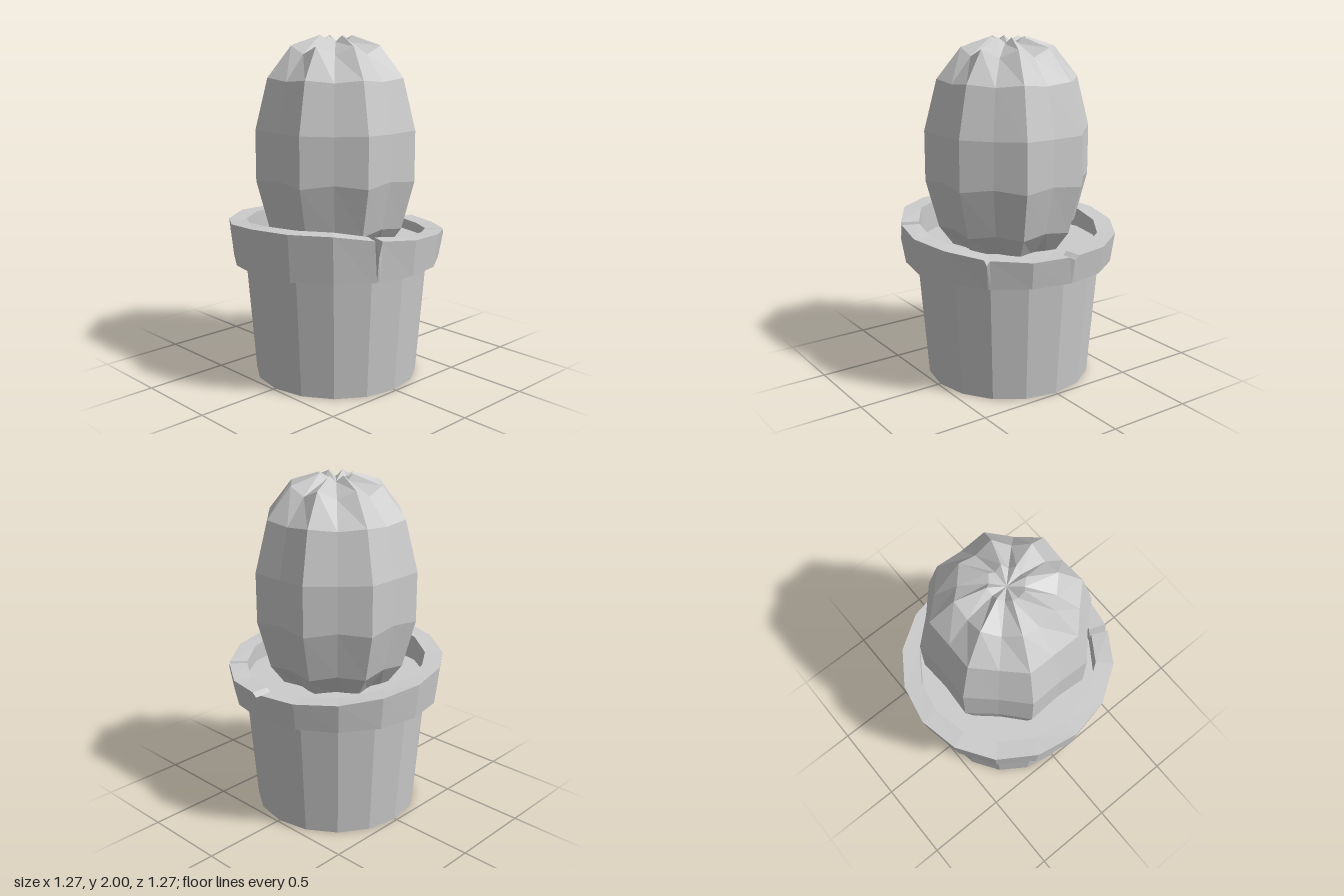
import * as THREE from 'three';

const TAU = Math.PI * 2, SIDES = 16, STEP = TAU / SIDES;
const grey = new THREE.MeshStandardMaterial({ color: 0xcccccc, flatShading: true, side: THREE.DoubleSide });

// point at an angle on a regular 16-sided ring
function onRing(angle, radius, y) {
  const off = angle - Math.round(angle / STEP) * STEP;
  const r = radius * Math.cos(STEP / 2) / Math.cos(STEP / 2 - Math.abs(off));
  return [r * Math.cos(angle), y, r * Math.sin(angle)];
}

// skin closed rings of equal point count, listed from the bottom up the outside
function loft(name, rings) {
  const pos = [];
  for (let i = 0; i < rings.length - 1; i++) {
    const n = rings[i].length;
    for (let j = 0; j < n; j++) {
      const k = (j + 1) % n;
      const a = rings[i][j], b = rings[i][k], c = rings[i + 1][k], d = rings[i + 1][j];
      pos.push(...a, ...d, ...c, ...a, ...c, ...b);
    }
  }
  const geo = new THREE.BufferGeometry();
  geo.setAttribute('position', new THREE.Float32BufferAttribute(pos, 3));
  geo.computeVertexNormals();
  const mesh = new THREE.Mesh(geo, grey);
  mesh.name = name;
  return mesh;
}

const corners = Array.from({ length: SIDES }, (_, i) => i * STEP);

// tapered pot body with closed base
function makePot() {
  const profile = [[0, 0], [0.485, 0], [0.54, 0.705]];
  return loft('potBody', profile.map(([r, y]) => corners.map(a => onRing(a, r, y))));
}

// uneven rim with V-shaped chips at some corners
function makeRim(soilY) {
  const heights = [0.865, 0.86, 0.875, 0.9, 0.915, 0.94, 0.975, 0.975,
    0.97, 0.95, 0.93, 0.93, 0.915, 0.895, 0.875, 0.865];
  const chips = { 0: [0.055, 0.02], 2: [0.025, 0.03], 5: [0.035, 0.09] }; // half angle, depth
  const columns = [];
  heights.forEach((h, i) => {
    const angle = i * STEP, chip = chips[i];
    if (!chip) return columns.push([angle, h]);
    const [half, depth] = chip;
    const toward = n => h + (heights[(n + SIDES) % SIDES] - h) * half / STEP;
    columns.push([angle - half, toward(i - 1)], [angle, h - depth], [angle + half, toward(i + 1)]);
  });
  const ring = (r, y) => columns.map(([a, h]) => onRing(a, r, y ?? h));
  return loft('potRim', [ring(0.54, 0.705), ring(0.61, 0.705), ring(0.635), ring(0.53), ring(0.53, soilY)]);
}

// ribbed cactus: ribs and grooves alternate around each ring
function makeCactus() {
  // rib radius, rib height, groove radius, groove height
  const profile = [
    [0.27, 0.72, 0.25, 0.76],
    [0.41, 0.91, 0.375, 0.93],
    [0.485, 1.19, 0.44, 1.21],
    [0.485, 1.48, 0.44, 1.475],
    [0.41, 1.77, 0.375, 1.755],
    [0.27, 1.945, 0.25, 1.9],
    [0.1, 2.0, 0.09, 1.965],
    [0, 1.95, 0, 1.95],
  ];
  return loft('cactus', profile.map(([rr, ry, gr, gy]) => corners.map((a, i) => {
    const [r, y] = i % 2 ? [rr, ry] : [gr, gy];
    return [r * Math.cos(a), y, r * Math.sin(a)];
  })));
}

export function createModel() {
  const group = new THREE.Group();
  group.name = 'pottedCactus';
  const soilY = 0.8;
  const soil = new THREE.Mesh(new THREE.CircleGeometry(0.53, SIDES), grey);
  soil.name = 'soil';
  soil.rotation.x = -Math.PI / 2;
  soil.position.y = soilY;
  group.add(makePot(), makeRim(soilY), soil, makeCactus());
  return group;
}
